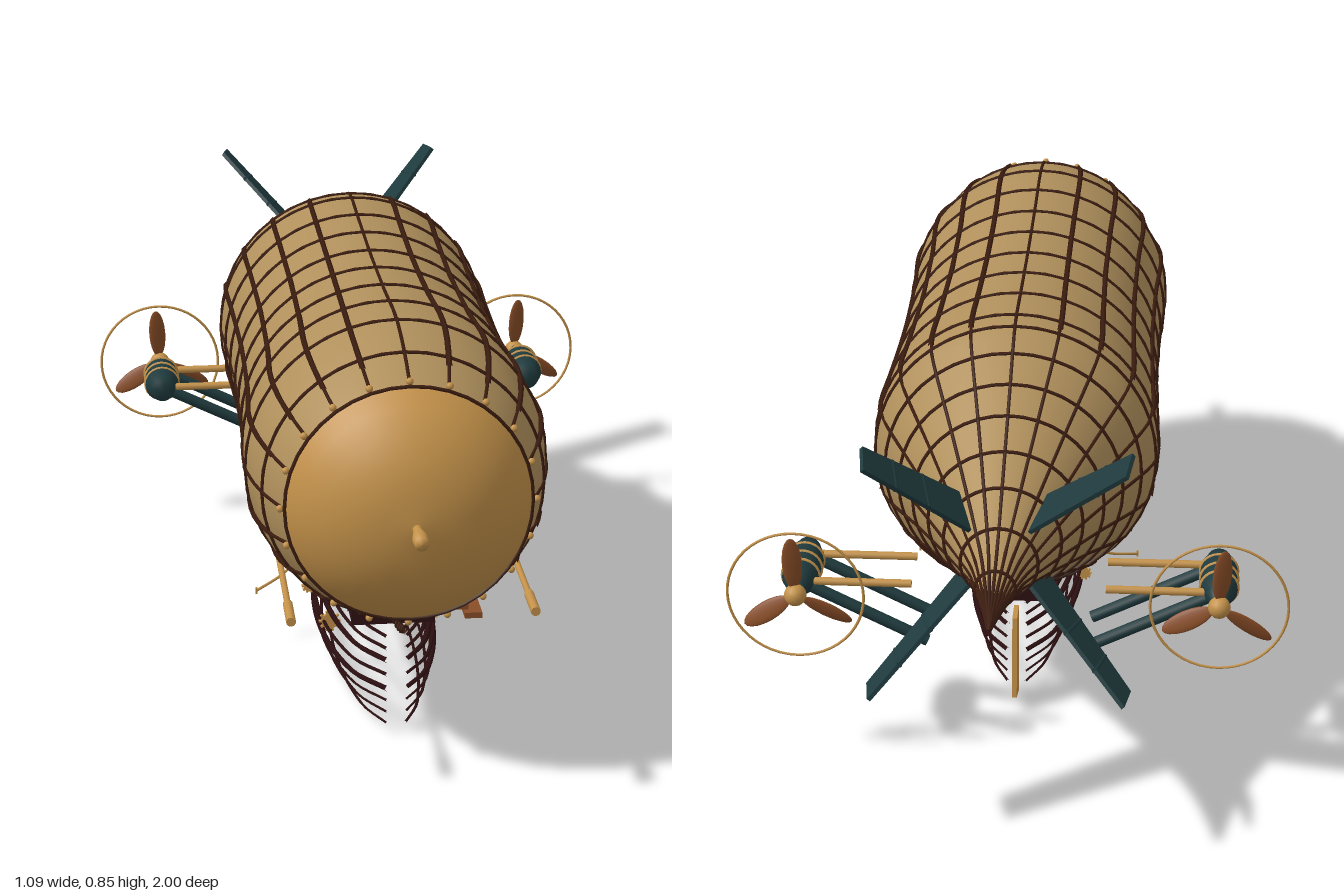
import * as THREE from 'three';

const mat = (name, color, side = THREE.FrontSide) => {
  const m = new THREE.MeshStandardMaterial({ color, side });
  m.name = name;
  return m;
};
const V = (x, y, z) => new THREE.Vector3(x, y, z);
const AXIS_Y = 0.565;

// envelope profile, [z, radius] from tail to nose cap
const PROFILE = [[-1, 0.001], [-0.9, 0.021], [-0.8, 0.048], [-0.64, 0.117], [-0.5, 0.182], [-0.32, 0.27],
  [-0.28, 0.28], [-0.22, 0.283], [-0.1, 0.278], [0.15, 0.272], [0.4, 0.276], [0.54, 0.284], [0.61, 0.282],
  [0.68, 0.271], [0.75, 0.251], [0.81, 0.225]];
const CAP = [[0.81, 0.225], [0.845, 0.201], [0.88, 0.163], [0.908, 0.115], [0.924, 0.06], [0.93, 0]];

function radiusAt(z) {
  for (let i = 1; i < PROFILE.length; i++) {
    const [z0, r0] = PROFILE[i - 1], [z1, r1] = PROFILE[i];
    if (z <= z1) return r0 + (r1 - r0) * (z - z0) / (z1 - z0);
  }
  return 0.225;
}

export function createModel() {
  const M = {
    canvas: mat('tan canvas', 0xb0905c),
    brass: mat('brass', 0xc4924a, THREE.DoubleSide),
    rib: mat('dark brown rib', 0x3c1d10),
    hull: mat('dark mahogany', 0x2e1012),
    teal: mat('dark teal', 0x1f3a3d),
    wood: mat('brown wood', 0x8a4e28),
    glass: mat('pale glass', 0x92cbc4),
  };
  const model = new THREE.Group();
  model.name = 'airship';

  const add = (name, geo, m, parent = model, x = 0, y = 0, z = 0) => {
    const mesh = new THREE.Mesh(geo, m);
    mesh.name = name;
    mesh.position.set(x, y, z);
    parent.add(mesh);
    return mesh;
  };
  const box = (name, w, h, d, x, y, z, m, parent) => add(name, new THREE.BoxGeometry(w, h, d), m, parent, x, y, z);
  const rod = (name, a, b, r, m, parent) => {
    const mesh = add(name, new THREE.CylinderGeometry(r, r, a.distanceTo(b), 10), m, parent);
    mesh.position.copy(a).add(b).multiplyScalar(0.5);
    mesh.quaternion.setFromUnitVectors(V(0, 1, 0), b.clone().sub(a).normalize());
    return mesh;
  };
  const tube = (name, pts, r, m, parent, n = 16, sides = 5) =>
    add(name, new THREE.TubeGeometry(new THREE.CatmullRomCurve3(pts), n, r, sides), m, parent);
  const lathe = (name, pts, seg, m, parent, x = 0, y = 0, z = 0) =>
    add(name, new THREE.LatheGeometry(pts.map(([a, r]) => new THREE.Vector2(r, a)), seg).rotateX(Math.PI / 2), m, parent, x, y, z);

  // envelope, nose cap and spike
  const balloon = new THREE.Group();
  balloon.name = 'envelope';
  balloon.position.y = AXIS_Y;
  model.add(balloon);
  lathe('envelopeSkin', PROFILE, 60, M.canvas, balloon);
  lathe('noseCap', CAP, 60, M.brass, balloon);
  lathe('noseSpike', [[0.92, 0], [0.92, 0.009], [0.94, 0.009], [0.975, 0.015], [0.998, 0.013], [1, 0]], 16, M.brass, balloon);

  // lengthwise ribs and cap rivets
  const COUNT = 20;
  for (let i = 0; i < COUNT; i++) {
    const a = i / COUNT * Math.PI * 2, c = Math.cos(a), s = Math.sin(a);
    const path = PROFILE.map(([z, r]) => V(c * (r + 0.001), s * (r + 0.001), z));
    tube('rib', path, 0.0035, M.rib, balloon, 50);
    if (i % 5) {
      const beam = PROFILE.slice(6, 15).map(([z, r]) => V(c * (r + 0.003), s * (r + 0.003), z));
      tube('ribBeam', beam, 0.0055, M.rib, balloon, 24, 4);
    }
    add('rivet', new THREE.SphereGeometry(0.007, 8, 6), M.brass, balloon, c * 0.235, s * 0.235, 0.805);
  }
  // ring frames
  const rings = [0.81, 0.72];
  for (let z = 0.6; z > -0.3; z -= 0.12) rings.push(z);
  rings.push(-0.29, -0.36, -0.43, -0.5, -0.58, -0.66, -0.75, -0.85);
  for (const z of rings)
    add('ringFrame', new THREE.TorusGeometry(radiusAt(z) + 0.002, 0.0035, 5, COUNT * 2), M.rib, balloon, 0, 0, z);

  // four tail fins with battens
  const finShape = new THREE.Shape([[0.115, -0.63], [0.346, -0.785], [0.332, -0.86], [0.075, -0.73]].map(p => new THREE.Vector2(...p)));
  for (let i = 0; i < 4; i++) {
    const fin = new THREE.Group();
    fin.name = 'tailFin';
    fin.rotation.z = Math.PI / 4 + i * Math.PI / 2;
    balloon.add(fin);
    add('finPanel', new THREE.ExtrudeGeometry(finShape, { depth: 0.008, bevelEnabled: false }).translate(0, 0, -0.004).rotateX(Math.PI / 2), M.teal, fin);
    for (const t of [0.4, 0.7])
      rod('finBatten', V(0.115 + 0.231 * t, 0, -0.63 - 0.155 * t), V(0.075 + 0.257 * t, 0, -0.73 - 0.13 * t), 0.0055, M.teal, fin);
  }

  // gondola: deck, cabins and windows
  box('deck', 0.165, 0.02, 0.75, 0, 0.228, 0.125, M.hull);
  box('foreCabin', 0.16, 0.06, 0.11, 0, 0.246, 0.507, M.hull);
  box('aftCabin', 0.165, 0.07, 0.2, 0, 0.25, -0.1, M.hull);
  box('sternDeck', 0.15, 0.035, 0.07, 0, 0.248, -0.23, M.hull);
  box('cabinFloor', 0.14, 0.03, 0.7, 0, 0.204, 0.15, M.hull);
  box('windowGlass', 0.17, 0.05, 0.41, 0, 0.273, 0.205, M.glass);
  for (let i = 0; i < 9; i++) box('floorSlat', 0.17, 0.008, 0.012, 0, 0.236, 0.02 + i * 0.045, M.wood);

  // rudder at the stern
  const rudder = new THREE.Shape([[-0.258, 0.01], [-0.258, 0.21], [-0.315, 0.21], [-0.335, 0.035]].map(p => new THREE.Vector2(...p)));
  add('rudder', new THREE.ExtrudeGeometry(rudder, { depth: 0.01, bevelEnabled: false }).translate(0, 0, -0.005).rotateY(-Math.PI / 2), M.brass);

  // open hull planks: [end height, half width, thickness]
  const planks = [[0.215, 0.088, 0.004], [0.19, 0.1, 0.004], [0.165, 0.108, 0.006], [0.135, 0.118, 0.004],
    [0.105, 0.118, 0.006], [0.08, 0.112, 0.003], [0.055, 0.1, 0.003], [0.031, 0.083, 0.003]];

  for (const s of [1, -1]) {
    const side = s > 0 ? 'left' : 'right';
    for (const [y, w, r] of planks) {
      const pts = [];
      for (let i = 0; i <= 10; i++) {
        const t = i / 10, b = Math.sin(Math.PI * t);
        pts.push(V(s * (0.018 + (w - 0.018) * Math.pow(Math.max(b, 0), 0.6)), y - 0.028 * b, 0.62 - 0.88 * t));
      }
      tube(side + 'HullPlank', pts, r, M.hull, model, 30, 4);
    }

    // window frames, balusters and suspension ropes
    for (let i = 0; i <= 8; i++) box('windowMullion', 0.005, 0.055, 0.005, s * 0.086, 0.273, i * 0.051, M.brass);
    box('windowSill', 0.008, 0.008, 0.42, s * 0.086, 0.246, 0.205, M.wood);
    for (let i = 0; i < 8; i++) box('baluster', 0.006, 0.055, 0.006, s * 0.086, 0.208, 0.03 + i * 0.04, M.hull);
    for (let i = 0; i < 7; i++) {
      const z = 0.43 - i * 0.075;
      tube('suspensionRope', [V(s * 0.222, 0.385, z), V(s * 0.19, 0.315, z), V(s * 0.14, 0.262, z), V(s * 0.08, 0.235, z)], 0.0028, M.rib);
    }

    // side pole along the envelope
    rod(side + 'SidePole', V(s * 0.223, 0.385, -0.06), V(s * 0.223, 0.378, 0.89), 0.006, M.brass);
    rod(side + 'PoleTip', V(s * 0.223, 0.379, 0.81), V(s * 0.223, 0.378, 0.89), 0.009, M.brass);

    // curved davit and its hook
    tube(side + 'Davit', [V(s * 0.08, 0.24, 0.05), V(s * 0.12, 0.187, 0.08), V(s * 0.18, 0.14, 0.12), V(s * 0.24, 0.12, 0.16)], 0.003, M.brass);
    box('davitHook', 0.004, 0.014, 0.004, s * 0.24, 0.12, 0.16, M.brass);

    // gears
    for (const [gx, gy, gz, r] of [[0.1, 0.108, 0.3, 0.017], [0.125, 0.1, 0.1, 0.012]]) {
      const gear = new THREE.Group();
      gear.name = 'gear';
      gear.position.set(s * gx, gy, gz);
      model.add(gear);
      add('gearDisc', new THREE.CylinderGeometry(r, r, 0.008, 16).rotateX(Math.PI / 2), M.brass, gear);
      for (let i = 0; i < 5; i++) box('gearTeeth', r * 2.6, 0.004, 0.007, 0, 0, 0, M.brass, gear).rotation.z = i * Math.PI / 5;
    }

    // engine pod with struts, propeller and guard ring
    const pod = new THREE.Group();
    pod.name = side + 'Engine';
    pod.position.set(s * 0.41, 0.383, 0);
    model.add(pod);
    lathe('enginePod', [[-0.54, 0], [-0.54, 0.018], [-0.515, 0.026], [-0.49, 0.036], [-0.4, 0.037], [-0.375, 0.028], [-0.36, 0.024], [-0.36, 0]], 20, M.teal, pod);
    for (const z of [-0.41, -0.445, -0.48]) add('podBand', new THREE.TorusGeometry(0.036, 0.004, 6, 24), M.brass, pod, 0, 0, z);
    for (const z of [-0.385, -0.5]) {
      rod('crossStrut', V(-s * 0.22, 0, z), V(-s * 0.02, 0, z), 0.008, M.brass, pod);
      rod('diagonalStrut', V(-s * 0.25, -0.125, z), V(-s * 0.02, -0.01, z), 0.012, M.teal, pod);
    }
    rod('propellerShaft', V(0, 0, -0.53), V(0, 0, -0.575), 0.01, M.brass, pod);
    add('propellerHub', new THREE.SphereGeometry(0.022, 16, 10), M.brass, pod, 0, 0, -0.56);
    add('guardRing', new THREE.TorusGeometry(0.133, 0.0028, 6, 48), M.brass, pod, 0, 0, -0.56);
    for (let i = 0; i < 3; i++) {
      const arm = new THREE.Group();
      arm.name = 'propellerBlade';
      arm.position.z = -0.56;
      arm.rotation.z = -s * 0.06 + i * Math.PI * 2 / 3;
      pod.add(arm);
      const blade = add('blade', new THREE.SphereGeometry(1, 12, 10), M.wood, arm, 0, 0.068, 0);
      blade.scale.set(0.02, 0.054, 0.005);
      blade.rotation.y = 0.4;
    }
  }

  // boarding steps on the left side
  for (let i = 0; i < 3; i++) box('boardingStep', 0.035, 0.012, 0.12, 0.12 + i * 0.028, 0.21 - i * 0.02, 0.38, M.wood);

  // bow chain links
  for (let i = 0; i < 9; i++) {
    const t = i / 8;
    const link = add('chainLink', new THREE.TorusGeometry(0.007, 0.002, 5, 8), M.rib, model, 0, 0.285 - 0.06 * t + 0.02 * t * t, 0.74 - 0.13 * t);
    link.rotation.y = i % 2 ? Math.PI / 2 : 0.6;
  }
  return model;
}
